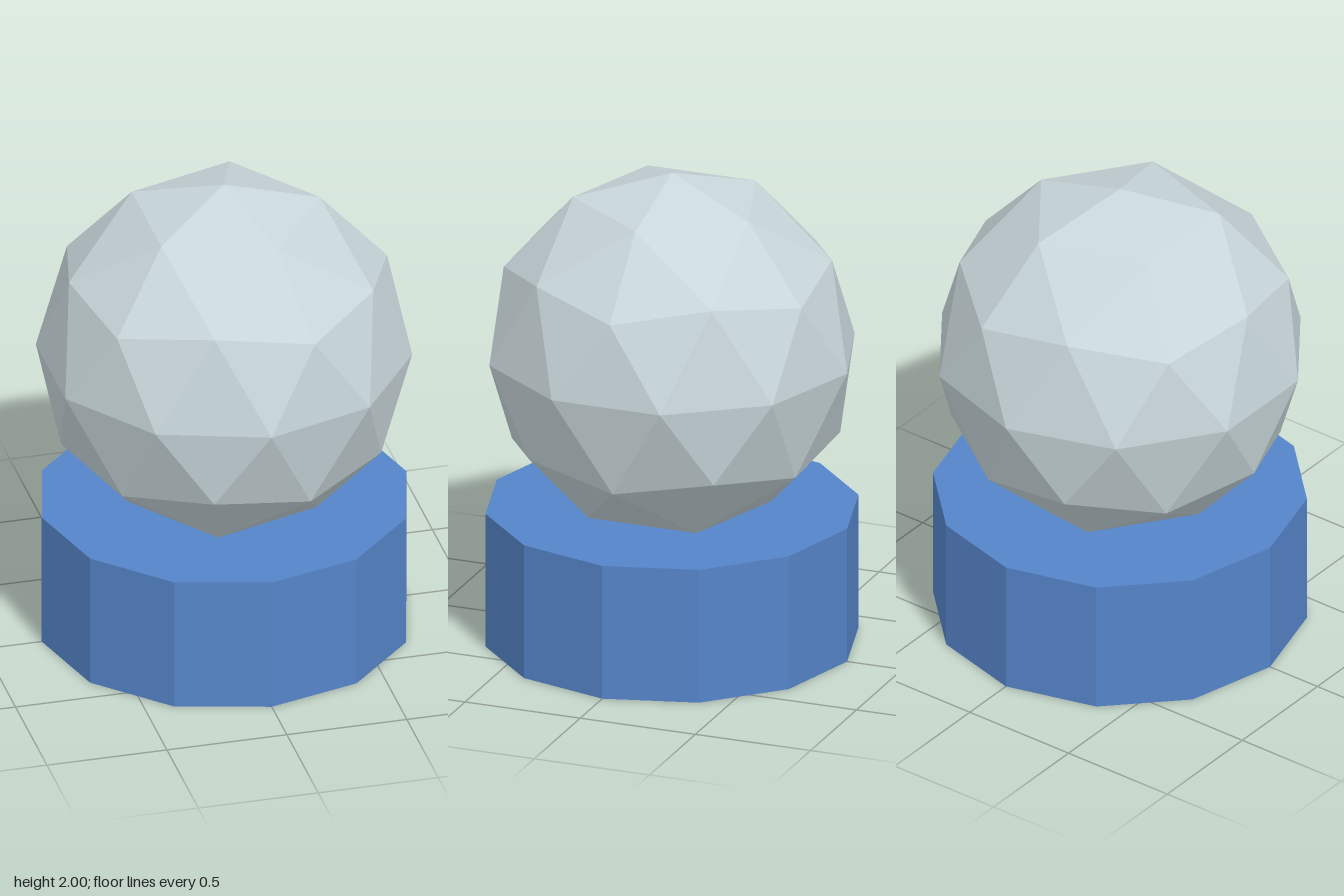
import * as THREE from 'three';

export function createModel() {
  const group = new THREE.Group();
  const blue = new THREE.MeshStandardMaterial({ color: 0x5584c8 });
  blue.name = 'blue';
  blue.flatShading = true;
  const paleGrey = new THREE.MeshStandardMaterial({ color: 0xc8d6da });
  paleGrey.name = 'paleGrey';
  paleGrey.flatShading = true;

  const radius = 0.76;
  const baseHeight = 0.572;

  // Twelve-sided pedestal
  const base = new THREE.Mesh(new THREE.CylinderGeometry(radius, radius, baseHeight, 12), blue);
  base.name = 'base';
  base.position.y = baseHeight / 2;
  group.add(base);

  // Faceted ball, turned so a corner points straight up, sunk a little into the base
  const ballGeometry = new THREE.IcosahedronGeometry(radius, 1);
  ballGeometry.rotateZ(-Math.atan(2 / (1 + Math.sqrt(5))));
  const ball = new THREE.Mesh(ballGeometry, paleGrey);
  ball.name = 'ball';
  ball.position.y = 2 - radius;
  group.add(ball);

  return group;
}
